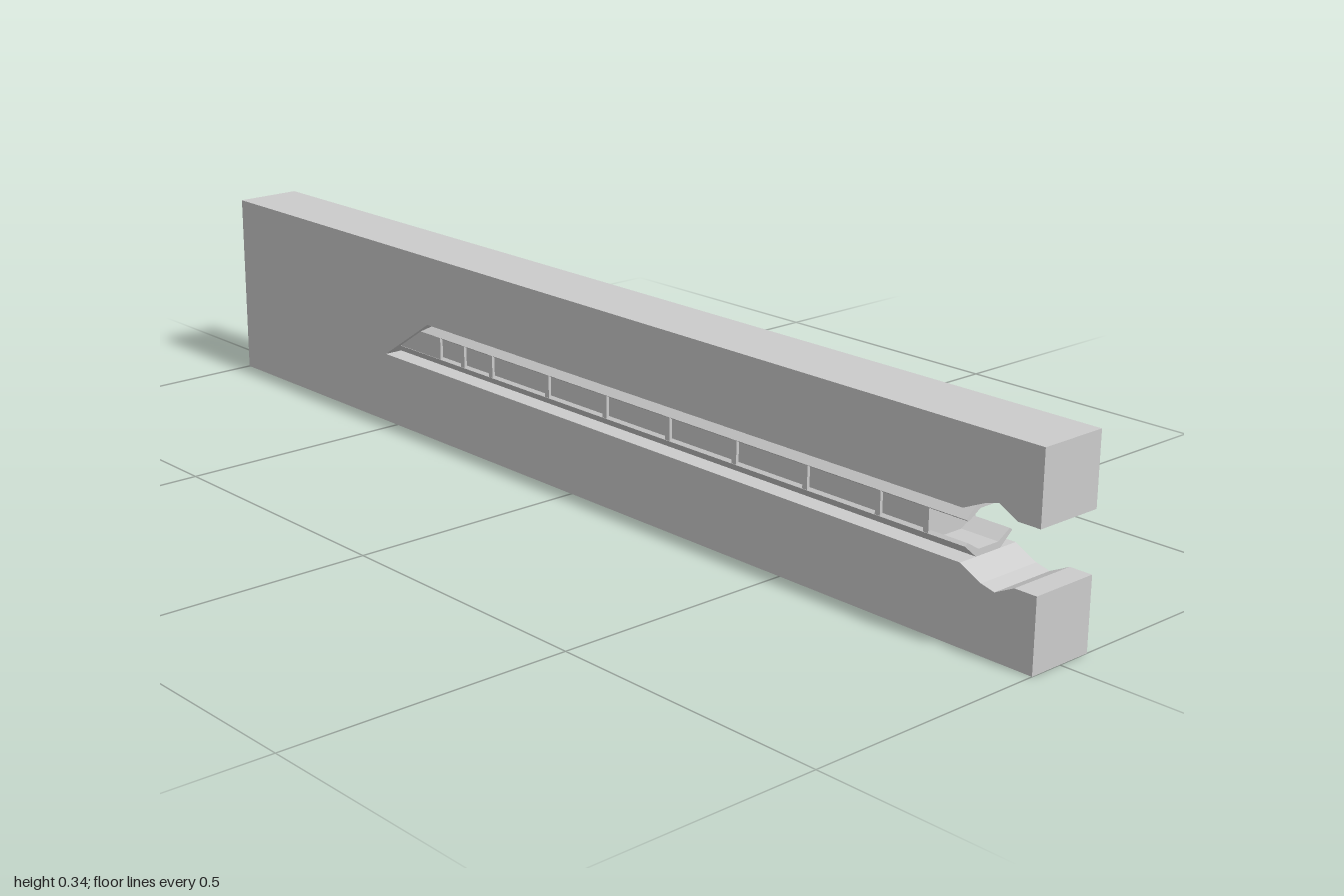
import * as THREE from 'three';

const mat = new THREE.MeshStandardMaterial({ color: 0xcccccc, flatShading: true });
const DEPTH = 0.124;

const shapeOf = (pts) => new THREE.Shape(pts.map(([x, y]) => new THREE.Vector2(x, y)));

// Mirrors half a cross-section outline to a full closed one
const mirrored = (half) => [...half, ...half.slice().reverse().map(([z, y]) => [-z, y])];

export function createModel() {
  const model = new THREE.Group();

  function add(name, geometry) {
    const mesh = new THREE.Mesh(geometry, mat);
    mesh.name = name;
    model.add(mesh);
    return mesh;
  }

  // Extrudes a (z, y) cross-section along x
  function sweep(name, pts, x0, x1) {
    const g = new THREE.ExtrudeGeometry(shapeOf(pts), { depth: x1 - x0, bevelEnabled: false });
    g.rotateY(Math.PI / 2);
    g.translate(x0, 0, 0);
    return add(name, g);
  }

  // Plate with a slanted slot that opens through a flared mouth at the right end
  const plate = new THREE.ExtrudeGeometry(shapeOf([
    [-1, 0], [1, 0], [1, 0.122], [0.96, 0.122], [0.925, 0.105], [0.9, 0.111], [0.86, 0.131],
    [-0.53, 0.131], [-0.4, 0.215], [0.86, 0.215], [0.9, 0.233], [0.925, 0.24],
    [0.96, 0.222], [1, 0.222], [1, 0.342], [-1, 0.342],
  ]), { depth: DEPTH, bevelEnabled: false });
  plate.translate(0, 0, -DEPTH / 2);
  add('plate', plate);

  // Chamfered upper and lower rails of the eight-sided insert
  sweep('upperRail', mirrored([
    [0.022, 0.205], [0.047, 0.19], [0.053, 0.194], [0.027, 0.215],
  ]), -0.5, 0.86);
  sweep('lowerRail', mirrored([
    [0.027, 0.131], [0.053, 0.153], [0.047, 0.157], [0.022, 0.142],
  ]), -0.53, 0.86);

  // Recessed core between the rails
  sweep('core', mirrored([
    [0.022, 0.141], [0.047, 0.156], [0.047, 0.191], [0.022, 0.206],
  ]), -0.5, 0.79);

  // Solid side block at the slanted end
  sweep('endBlock', mirrored([[0.0525, 0.153], [0.0525, 0.194]]), -0.52, -0.375);

  // Upright ribs that divide the recessed side panels
  for (const x of [-0.31, -0.23, -0.075, 0.075, 0.23, 0.385, 0.54, 0.69, 0.785]) {
    const rib = new THREE.BoxGeometry(0.01, 0.041, 0.105);
    rib.translate(x, 0.1735, 0);
    add('rib', rib);
  }

  return model;
}
